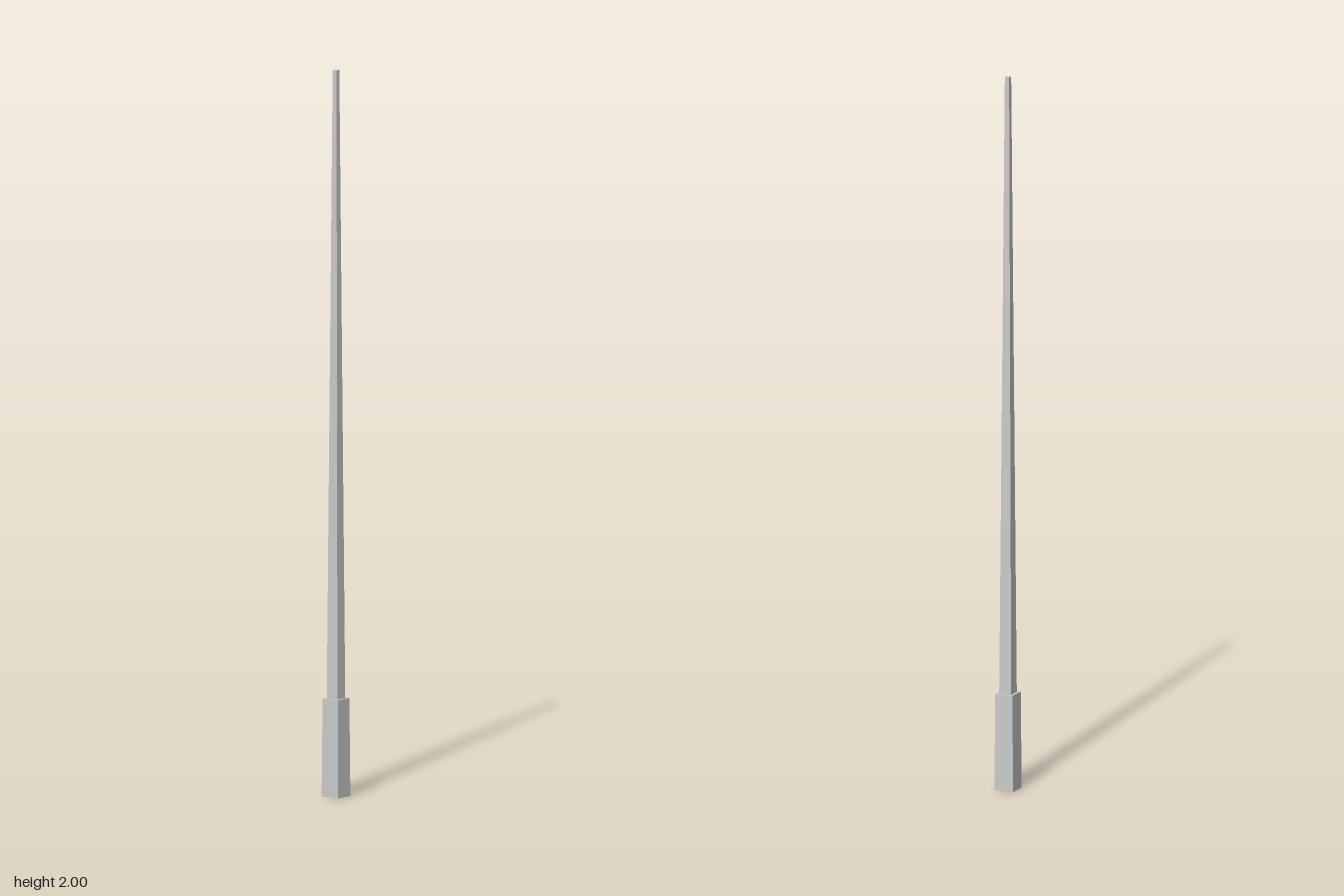
import * as THREE from 'three';

const material = new THREE.MeshStandardMaterial({ color: 0xcccccc, flatShading: true });

// Square tapered bar from y0 to y1, given half widths at each end
function taperedBar(name, halfBottom, halfTop, y0, y1) {
  const geometry = new THREE.CylinderGeometry(
    halfTop * Math.SQRT2, halfBottom * Math.SQRT2, y1 - y0, 4, 1);
  geometry.rotateY(Math.PI / 4);
  geometry.translate(0, (y0 + y1) / 2, 0);
  const mesh = new THREE.Mesh(geometry, material);
  mesh.name = name;
  return mesh;
}

export function createModel() {
  const group = new THREE.Group();
  group.name = 'wand';

  // Thicker grip with a flat shoulder
  group.add(taperedBar('handle', 0.028, 0.026, 0, 0.27));

  // Long slender shaft narrowing to a blunt tip
  group.add(taperedBar('shaft', 0.018, 0.0065, 0.27, 2));

  return group;
}
